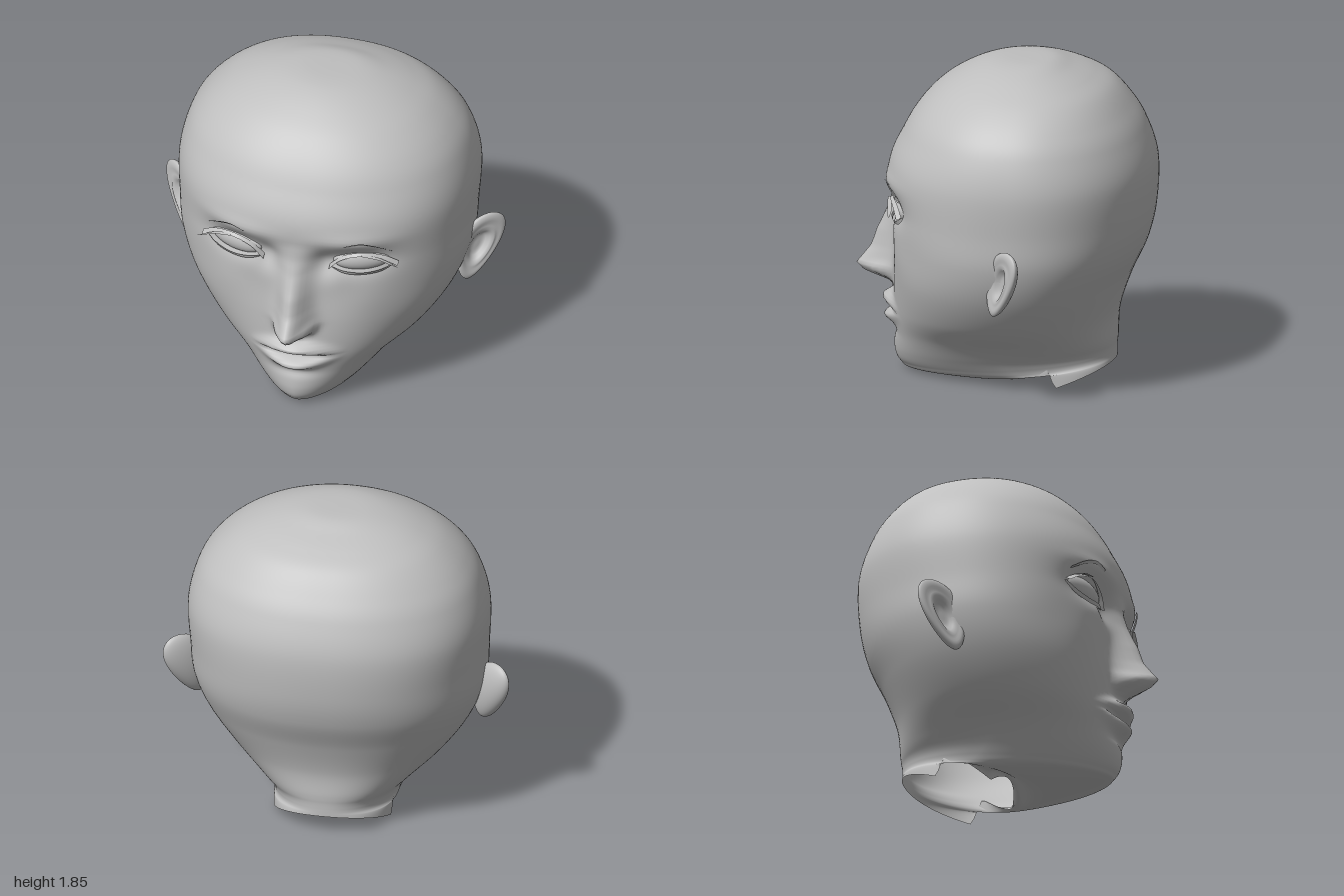
import * as THREE from 'three';

// Head cross-sections, crown to neck:
// front y, back y, front z, back z, half width, z of widest point, front roundness power
const LEVELS = [
  [1.85, 1.85, -0.15, -0.15, 0, -0.15, 2],
  [1.847, 1.842, 0.02, -0.28, 0.18, -0.15, 2],
  [1.825, 1.803, 0.13, -0.385, 0.33, -0.15, 2],
  [1.77, 1.755, 0.25, -0.5, 0.47, -0.15, 2.1],
  [1.69, 1.69, 0.37, -0.61, 0.6, -0.15, 2.15],
  [1.58, 1.58, 0.475, -0.705, 0.72, -0.15, 2.2],
  [1.45, 1.45, 0.555, -0.785, 0.8, -0.15, 2.2],
  [1.25, 1.25, 0.64, -0.85, 0.848, -0.15, 2.2],
  [1.0, 1.0, 0.625, -0.845, 0.84, -0.12, 2.2],
  [0.8, 0.8, 0.61, -0.8, 0.825, -0.1, 2.15],
  [0.6, 0.6, 0.62, -0.71, 0.755, -0.07, 2.1],
  [0.4, 0.4, 0.625, -0.645, 0.625, -0.03, 2],
  [0.25, 0.25, 0.625, -0.64, 0.475, -0.03, 2],
  [0.12, 0.2, 0.63, -0.636, 0.4, -0.05, 1.8],
  [0.045, 0.17, 0.6, -0.635, 0.365, -0.1, 1.7],
  [0.01, 0.15, 0.52, -0.635, 0.35, -0.15, 1.7],
  [0.01, 0.135, 0.14, -0.635, 0.345, -0.22, 1.9],
  [0.09, 0.12, -0.02, -0.635, 0.34, -0.28, 2],
];
const LAST = LEVELS.length - 1;

// Smooth cross-section at a fractional level
function section(t) {
  const i = Math.min(Math.floor(t), LAST - 1), f = t - i;
  const row = (k) => LEVELS[Math.max(0, Math.min(LAST, k))];
  return LEVELS[0].map((_, c) => {
    const [a, b, d, e] = [row(i - 1)[c], row(i)[c], row(i + 1)[c], row(i + 2)[c]];
    return b + 0.5 * f * (d - a + f * (2 * a - 5 * b + 4 * d - e + f * (3 * (b - d) + e - a)));
  });
}

function table(points, v) {
  if (v <= points[0][0]) return points[0][1];
  for (let i = 1; i < points.length; i++) {
    const [a, p] = points[i - 1], [b, q] = points[i];
    if (v <= b) return p + ((q - p) * (v - a)) / (b - a);
  }
  return points[points.length - 1][1];
}

const NOSE_HEIGHT = [[0.46, 0], [0.5, 0.03], [0.525, 0.1], [0.555, 0.19], [0.595, 0.232], [0.63, 0.205],
  [0.7, 0.155], [0.8, 0.125], [0.93, 0.055], [1.02, 0.02], [1.12, 0]];
const NOSE_WIDTH = [[0.5, 0.045], [0.55, 0.065], [0.6, 0.085], [0.68, 0.085], [0.8, 0.08], [0.95, 0.075], [1.1, 0.09]];
const NECK_EDGE = [[-0.635, 0.12], [-0.35, 0.01], [-0.29, 0.16], [-0.07, 0.01], [-0.02, 0.09]];

// Forward relief of the face
function relief(x, y) {
  const ax = Math.abs(x);
  const bump = (h, cx, cy, sx, sy) => h * Math.exp(-(((ax - cx) / sx) ** 2) - ((y - cy) / sy) ** 2);
  const lip = Math.max(0, 1 - (ax / 0.28) ** 2);
  return table(NOSE_HEIGHT, y) * Math.exp(-((ax / table(NOSE_WIDTH, y)) ** 2.2))
    + bump(0.06, 0.085, 0.57, 0.035, 0.04)     // nostril wings
    + bump(-0.055, 0.34, 1.03, 0.17, 0.08)     // eye sockets
    + bump(-0.045, 0.16, 0.99, 0.07, 0.09)     // inner eye corners
    + bump(0.02, 0.33, 1.17, 0.2, 0.05)        // brow ridge
    + bump(0.015, 0.42, 0.78, 0.15, 0.14)      // cheekbones
    + lip * bump(0.075, 0, 0.372 + 0.05 * lip, 0.25, 0.034)   // upper lip
    + lip * bump(0.065, 0, 0.368 - 0.055 * lip, 0.22, 0.036)  // lower lip
    + lip * bump(-0.045, 0, 0.37, 0.3, 0.013)  // mouth line
    + bump(-0.015, 0, 0.24, 0.12, 0.03);       // hollow under lower lip
}

// Depth of the face surface at x, y
function faceZ(x, y) {
  let lo = 0, hi = 12;
  for (let i = 0; i < 30; i++) {
    const mid = (lo + hi) / 2;
    if (section(mid)[0] > y) lo = mid; else hi = mid;
  }
  const [, , zf, , w, zc, n] = section(lo);
  return zc + (zf - zc) * Math.max(0, 1 - (Math.abs(x) / w) ** n) ** (1 / n) + relief(x, y);
}

function grid(rows, cols, wrap, point) {
  const pos = [], index = [], stride = wrap ? cols : cols + 1;
  for (let i = 0; i <= rows; i++) for (let j = 0; j < stride; j++) pos.push(...point(i / rows, j / cols));
  for (let i = 0; i < rows; i++) for (let j = 0; j < cols; j++) {
    const a = i * stride + j, b = i * stride + ((j + 1) % stride), c = a + stride, d = b + stride;
    index.push(a, c, b, b, c, d);
  }
  const g = new THREE.BufferGeometry();
  g.setAttribute('position', new THREE.Float32BufferAttribute(pos, 3));
  g.setIndex(index);
  g.computeVertexNormals();
  return g;
}

function headGeometry() {
  return grid(190, 144, true, (v, h) => {
    const t = v * LAST, u = h * Math.PI * 2;
    const [yf, yb, zf, zb, w, zc, power] = section(t);
    const a = u - 0.45 * Math.sin(u), s = Math.sin(a), c = Math.cos(a);  // denser columns on the face
    const n = c > 0 ? power : 2.2;
    const x = w * Math.sign(s) * Math.abs(s) ** (2 / n);
    let z = zc + (c > 0 ? zf - zc : zb - zc) * Math.abs(c) ** (2 / n);
    let y = yb + ((yf - yb) * (1 + c)) / 2;
    const cut = Math.max(0, t - LAST + 1);
    y += (table(NECK_EDGE, z) - y) * cut * cut;                          // ragged neck edge
    if (c > 0 && y > 0.15) z += relief(x, y) * Math.min(1, c * 4) * Math.min(1, t);
    return [x, y, z];
  });
}

// Flared ear: a flattened ball with a full back, a hollow, a rim and an inner fold
function earGeometry() {
  const g = new THREE.SphereGeometry(1, 40, 28), p = g.attributes.position;
  for (let i = 0; i < p.count; i++) {
    const a = p.getX(i), b = p.getZ(i), c = p.getY(i), r = Math.hypot(a, b);
    let n = c * (c > 0 ? 0.035 : 0.065);
    if (c > 0) {
      n += -0.06 * Math.exp(-((r / 0.65) ** 4)) + 0.035 * Math.exp(-(((r - 0.5) / 0.13) ** 2)) * (0.6 + 0.5 * a);
    }
    const e = a * 0.165 * (0.8 + 0.25 * b);
    p.setXYZ(i, 0.862 + 0.05 * b + 0.75 * e + 0.66 * n, 0.75 + 0.2 * b, -0.14 - 0.05 * b - 0.66 * e + 0.75 * n);
  }
  g.computeVertexNormals();
  return g;
}

// Thin strip between two curves; points are x, y and distance in front of the face
function ribbon(top, bottom) {
  const [A, B] = [top, bottom].map((pts) => new THREE.CatmullRomCurve3(
    pts.map(([x, y, d]) => new THREE.Vector3(x, y, faceZ(x, y) + d))));
  return grid(1, 20, false, (v, h) => (v ? B : A).getPoint(h).toArray());
}

function mirrored(geometry) {
  const g = geometry.clone().scale(-1, 1, 1), ix = g.index;
  for (let i = 0; i < ix.count; i += 3) {
    const a = ix.getX(i);
    ix.setX(i, ix.getX(i + 1));
    ix.setX(i + 1, a);
  }
  g.computeVertexNormals();
  return g;
}

export function createModel() {
  const group = new THREE.Group();
  const clay = new THREE.MeshStandardMaterial({ color: 0xbfbfbf, side: THREE.DoubleSide });
  clay.name = 'grey clay';
  const add = (name, geometry) => {
    const mesh = new THREE.Mesh(geometry, clay);
    mesh.name = name;
    group.add(mesh);
  };
  const pair = (name, geometry) => {
    add('left' + name, geometry);
    add('right' + name, mirrored(geometry));
  };

  add('head', headGeometry());
  pair('Ear', earGeometry());

  // Eyes
  const eye = new THREE.SphereGeometry(1, 32, 20).scale(0.165, 0.072, 0.06);
  eye.rotateZ(0.06).rotateY(0.32).translate(0.365, 1.027, faceZ(0.365, 1.027) - 0.012);
  pair('Eyeball', eye);
  const upper = [[0.19, 0.985, 0.005], [0.26, 1.06, 0.012], [0.37, 1.1, 0.015], [0.49, 1.075, 0.02], [0.57, 1.025, 0.03]];
  pair('UpperEyelid', ribbon(upper, upper.map(([x, y, d]) => [x, y - 0.016, d + 0.03])));
  pair('LowerEyelid', ribbon(
    [[0.19, 0.98, 0.015], [0.28, 0.972, 0.03], [0.39, 0.965, 0.035], [0.49, 0.985, 0.03], [0.55, 1.02, 0.02]],
    [[0.19, 0.975, 0.01], [0.28, 0.952, 0.015], [0.39, 0.945, 0.015], [0.49, 0.965, 0.015], [0.56, 1.015, 0.015]]));
  pair('Eyelashes', ribbon(
    [[0.38, 1.096, 0.035], [0.46, 1.082, 0.045], [0.53, 1.05, 0.07], [0.575, 1.03, 0.1]],
    [[0.38, 1.093, 0.05], [0.48, 1.075, 0.075], [0.55, 1.045, 0.1], [0.59, 1.028, 0.115]]));
  pair('Eyebrow', ribbon(
    [[0.29, 1.17, 0.01], [0.38, 1.19, 0.018], [0.46, 1.165, 0.022], [0.54, 1.105, 0.025]],
    [[0.3, 1.16, 0.004], [0.38, 1.174, 0.006], [0.45, 1.15, 0.008], [0.53, 1.098, 0.008]]));
  return group;
}
